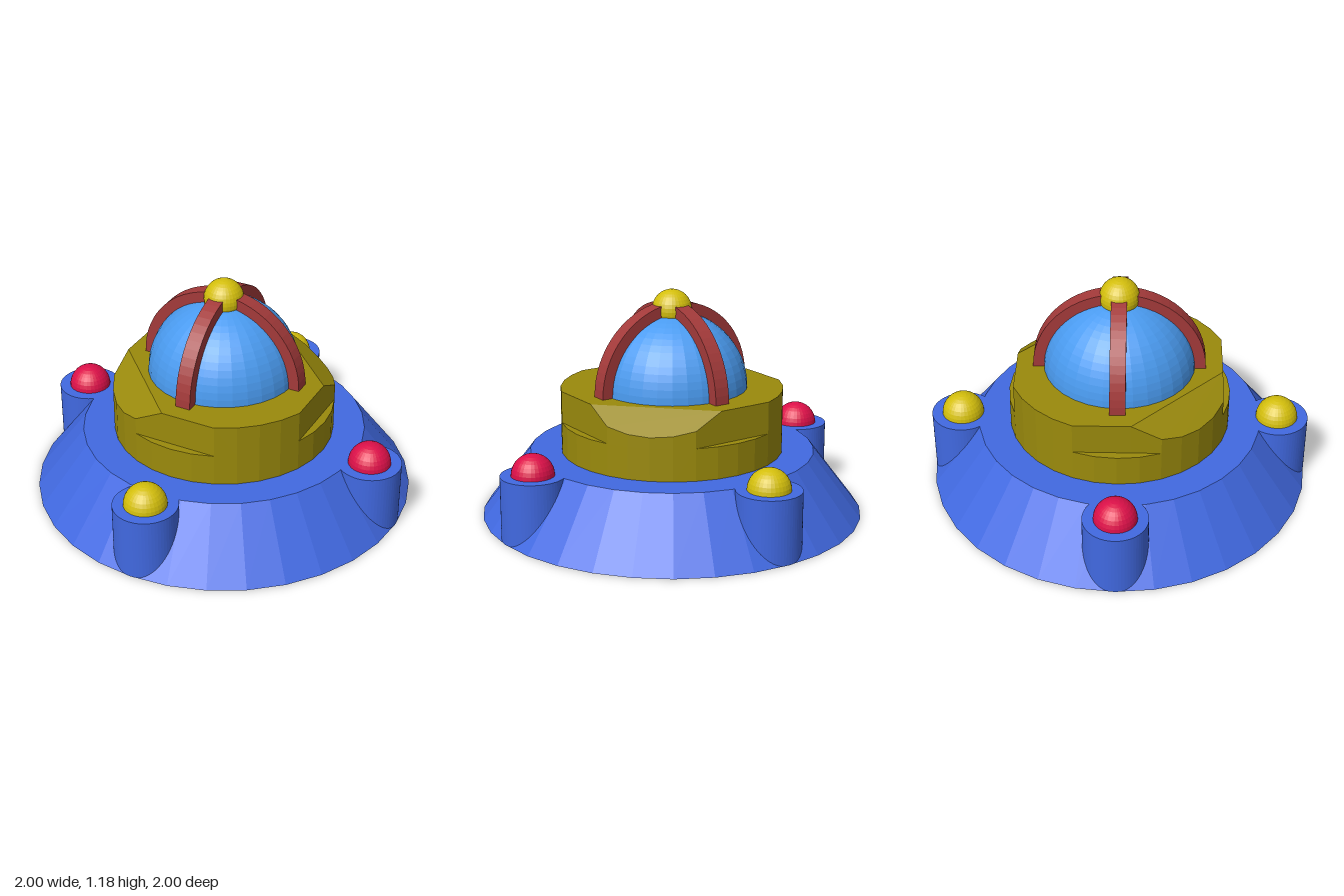
import * as THREE from 'three';

const mat = (color) => new THREE.MeshStandardMaterial({ color, flatShading: true });
const blue = mat(0x4169e1), gold = mat(0x9a8a0c), rust = mat(0xa33a3a);
const glass = mat(0x4a9bf0), yellow = mat(0xd4bf0c), red = mat(0xdc1049);

const BASE = 0.335, STEP = 0.502, DECK = 0.668;

function add(parent, name, geometry, material, x = 0, y = 0, z = 0) {
  const mesh = new THREE.Mesh(geometry, material);
  mesh.name = name;
  mesh.position.set(x, y, z);
  parent.add(mesh);
  return mesh;
}

// Round collar with four flat sides and two opposite corners planed down
function collarGeometry() {
  const R = 0.58, flat = R * Math.cos(Math.PI / 8), chord = 0.428, slope = 0.72;
  const inset = chord * Math.SQRT2 - flat;
  const height = (x, z) => DECK - slope * Math.max(0, Math.abs(x - z) / Math.SQRT2 - chord);
  const outline = [], deck = [], bevels = [], pos = [];

  for (let q = 0; q < 4; q++) {
    const bevelled = q % 2 === 1;
    const local = [];
    for (let i = 0; i <= 4; i++) {
      const a = Math.PI / 8 + (i * Math.PI) / 16;
      local.push([R * Math.cos(a), R * Math.sin(a)]);
    }
    if (bevelled) {
      local.unshift([flat, inset]);
      local.push([inset, flat]);
    }
    const c = [1, 0, -1, 0][q], s = [0, 1, 0, -1][q];
    const pts = local.map(([u, v]) => {
      const x = u * c - v * s, z = u * s + v * c;
      return [x, bevelled ? height(x, z) : DECK, z];
    });
    outline.push(...pts);
    if (bevelled) {
      bevels.push(pts);
      deck.push(pts[0], pts[pts.length - 1]);
    } else deck.push(...pts);
  }

  const tri = (a, b, c) => pos.push(...a, ...b, ...c);
  outline.forEach((a, i) => {
    const b = outline[(i + 1) % outline.length];
    const a0 = [a[0], STEP, a[2]], b0 = [b[0], STEP, b[2]];
    tri(a0, a, b);
    tri(a0, b, b0);
  });
  for (const face of [deck, ...bevels])
    for (let i = 1; i < face.length - 1; i++) tri(face[0], face[i + 1], face[i]);

  const g = new THREE.BufferGeometry();
  g.setAttribute('position', new THREE.Float32BufferAttribute(pos, 3));
  g.computeVertexNormals();
  return g;
}

// Half ring with a rectangular section
function ribGeometry() {
  const shape = new THREE.Shape();
  shape.absarc(0, 0, 0.447, 0, Math.PI, false);
  shape.absarc(0, 0, 0.38, Math.PI, 0, true);
  const g = new THREE.ExtrudeGeometry(shape, { depth: 0.08, bevelEnabled: false, curveSegments: 16 });
  return g.translate(0, 0, -0.04);
}

export function createModel() {
  const model = new THREE.Group();
  model.name = 'saucer';

  // Sloping hull
  add(model, 'hull', new THREE.CylinderGeometry(0.745, 1, BASE, 32), blue, 0, BASE / 2, 0);

  // Four pods with lamps: red at the sides, yellow at front and back
  const podGeo = new THREE.CylinderGeometry(0.165, 0.165, BASE, 64);
  const lampGeo = new THREE.SphereGeometry(0.11, 32, 16);
  [[1, 0, 'left'], [0, 1, 'front'], [-1, 0, 'right'], [0, -1, 'back']].forEach(([dx, dz, side]) => {
    const x = dx * 0.835, z = dz * 0.835;
    add(model, side + 'Pod', podGeo, blue, x, BASE / 2, z);
    add(model, side + 'Lamp', lampGeo, dx ? red : yellow, x, BASE, z);
  });

  // Collar under the dome
  add(model, 'collarBase', new THREE.CylinderGeometry(0.58, 0.58, STEP - BASE, 32), gold, 0, (STEP + BASE) / 2, 0);
  add(model, 'collar', collarGeometry(), gold);

  // Dome, crossing ribs and top knob
  add(model, 'dome', new THREE.SphereGeometry(0.393, 32, 16, 0, Math.PI * 2, 0, Math.PI / 2), glass, 0, DECK, 0);
  const rib = ribGeometry();
  add(model, 'ribAcross', rib, rust, 0, DECK, 0);
  add(model, 'ribAlong', rib, rust, 0, DECK, 0).rotation.y = Math.PI / 2;
  add(model, 'topKnob', new THREE.SphereGeometry(0.103, 32, 16), yellow, 0, 1.077, 0);

  return model;
}
